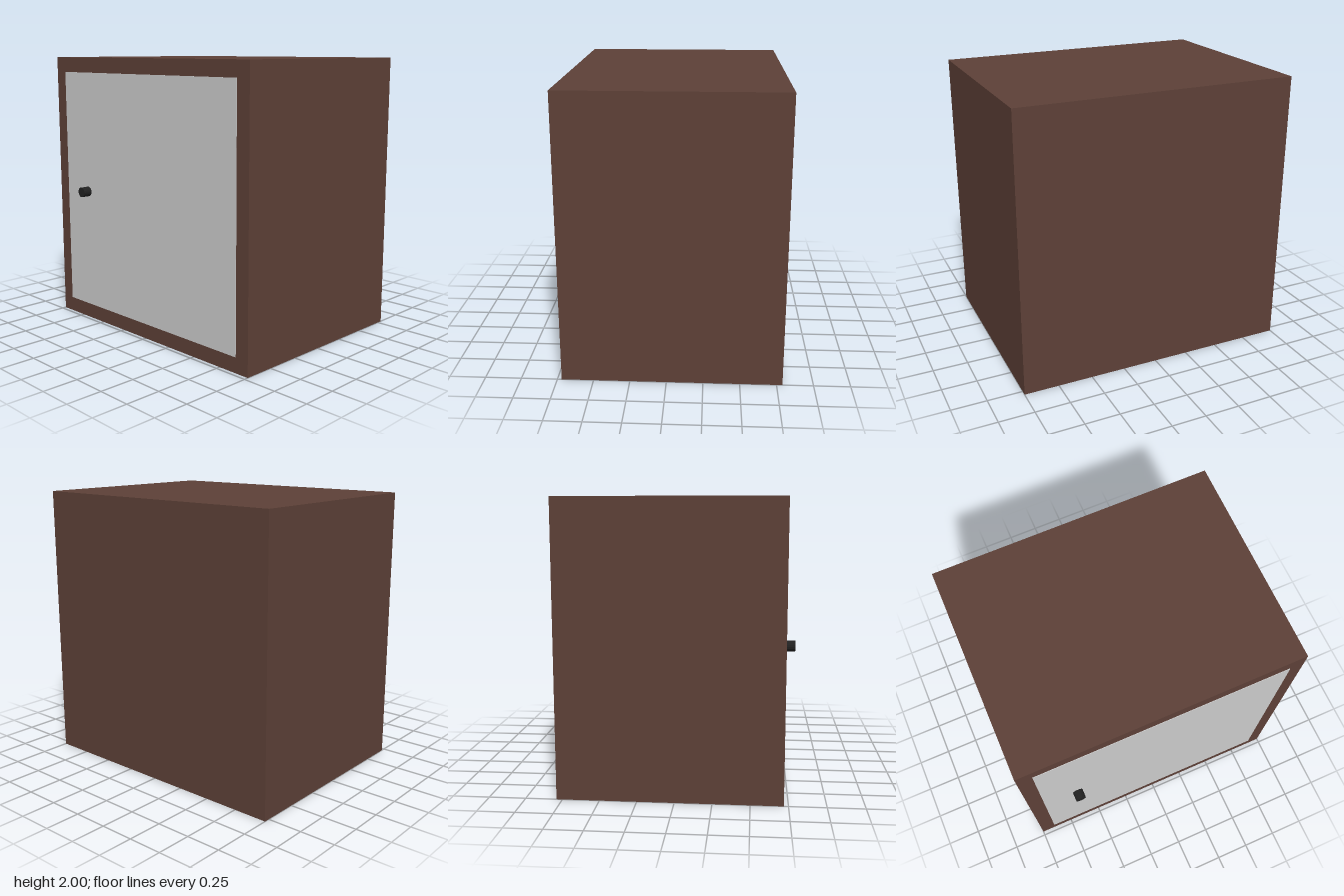
import * as THREE from 'three';

export function createModel() {
  const model = new THREE.Group();

  const add = (name, geometry, color, x, y, z) => {
    const material = new THREE.MeshStandardMaterial({ color, flatShading: true });
    const mesh = new THREE.Mesh(geometry, material);
    mesh.name = name;
    mesh.position.set(x, y, z);
    model.add(mesh);
    return mesh;
  };

  // Wooden cabinet body, its opening facing -x
  add('cabinetBody', new THREE.BoxGeometry(1.51, 2, 2), 0x5d4037, 0.035, 1, 0);

  // Door panel, standing just proud of the body
  add('door', new THREE.BoxGeometry(0.04, 1.78, 1.79), 0xbdbdbd, -0.704, 1, 0);

  // Round knob near the back edge of the door
  const knob = add('doorKnob', new THREE.CylinderGeometry(0.037, 0.037, 0.08, 16), 0x212121, -0.75, 1, -0.64);
  knob.rotation.z = Math.PI / 2;

  return model;
}
